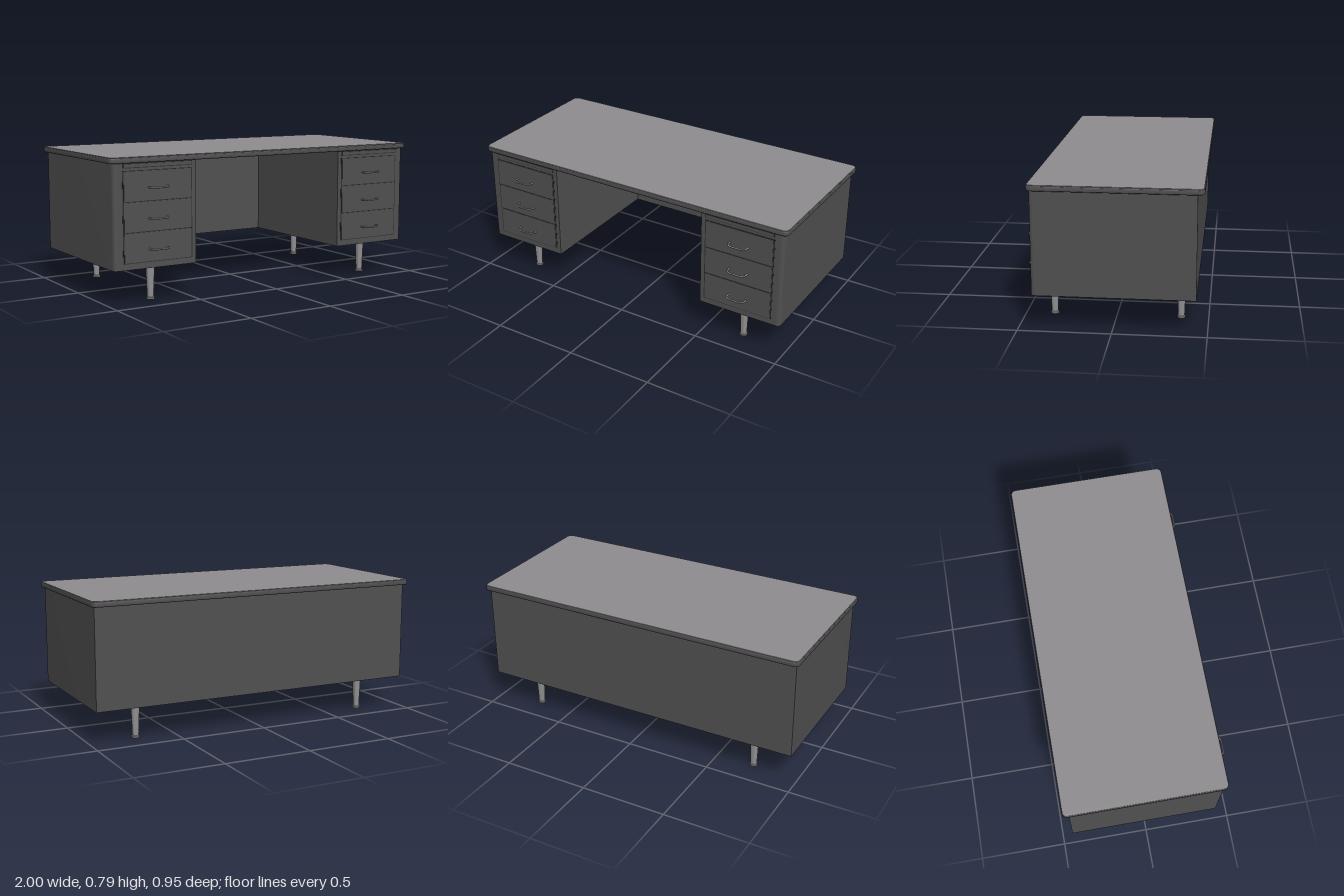
import * as THREE from 'three';
import { toCreasedNormals } from 'three/addons/utils/BufferGeometryUtils.js';

const mat = (name, color) => {
  const m = new THREE.MeshStandardMaterial({ color });
  m.name = name;
  return m;
};

// Rectangle with rounded corners, in plan (shape y = -z)
function roundedRect(x0, y0, x1, y1, r) {
  const s = new THREE.Shape();
  s.absarc(x1 - r, y0 + r, r, -Math.PI / 2, 0);
  s.absarc(x1 - r, y1 - r, r, 0, Math.PI / 2);
  s.absarc(x0 + r, y1 - r, r, Math.PI / 2, Math.PI);
  s.absarc(x0 + r, y0 + r, r, Math.PI, Math.PI * 1.5);
  s.closePath();
  return s;
}

// Extrude a plan shape upward from y
function slab(shape, y, height, bevel = 0) {
  const g = new THREE.ExtrudeGeometry(shape, {
    depth: height - 2 * bevel, curveSegments: 8,
    bevelEnabled: bevel > 0, bevelSize: bevel, bevelThickness: bevel, bevelOffset: -bevel, bevelSegments: 3,
  });
  g.rotateX(-Math.PI / 2).translate(0, y + bevel, 0);
  return toCreasedNormals(g, 0.6);
}

export function createModel() {
  const steel = mat('dark steel', 0x505050);
  const gap = mat('shadow gap', 0x303030);
  const laminate = mat('grey laminate', 0x8f8c8f);
  const metal = mat('brushed metal', 0x909090);

  const desk = new THREE.Group();
  desk.name = 'desk';
  const add = (parent, name, geometry, material, x = 0, y = 0, z = 0) => {
    const m = new THREE.Mesh(geometry, material);
    m.name = name;
    m.position.set(x, y, z);
    parent.add(m);
    return m;
  };

  // Desk top: dark rim with a thin laminate sheet
  add(desk, 'topRim', slab(roundedRect(-1, -0.44, 1, 0.475, 0.03), 0.757, 0.029, 0.006), steel);
  add(desk, 'topSurface', slab(roundedRect(-0.996, -0.436, 0.996, 0.471, 0.027), 0.783, 0.006), laminate);

  // Carcass: two pedestals joined by the back panel, U-shaped in plan
  const W = 0.98, inner = 0.485, front = -0.427, back = 0.44, r = 0.025;
  const plan = new THREE.Shape();
  plan.moveTo(-W, back);
  plan.lineTo(-W, front + r);
  plan.quadraticCurveTo(-W, front, -W + r, front);
  plan.lineTo(-inner, front);
  plan.lineTo(-inner, back - 0.02);
  plan.lineTo(inner, back - 0.02);
  plan.lineTo(inner, front);
  plan.lineTo(W - r, front);
  plan.quadraticCurveTo(W, front, W, front + r);
  plan.lineTo(W, back);
  plan.closePath();
  add(desk, 'carcass', slab(plan, 0.19, 0.568), steel);

  // Bow handle and turned leg, shared by all copies
  const bow = new THREE.CatmullRomCurve3([
    [-0.055, 0], [-0.053, 0.026], [-0.038, 0.04], [0, 0.042], [0.038, 0.04], [0.053, 0.026], [0.055, 0],
  ].map(([x, z]) => new THREE.Vector3(x, 0, z)));
  const handleGeo = new THREE.TubeGeometry(bow, 32, 0.005, 8);
  const legGeo = toCreasedNormals(new THREE.LatheGeometry([
    [0, 0], [0.019, 0], [0.022, 0.003], [0.022, 0.011], [0.018, 0.015], [0.024, 0.184],
  ].map(p => new THREE.Vector2(...p)), 24), 0.6);

  for (const side of [-1, 1]) {
    const x = side * 0.718;
    const pedestal = new THREE.Group();
    pedestal.name = side > 0 ? 'leftPedestalFittings' : 'rightPedestalFittings';
    desk.add(pedestal);

    // Drawer stack set over a dark reveal
    add(pedestal, 'drawerReveal', new THREE.BoxGeometry(0.418, 0.494, 0.004), gap, x, 0.47, 0.4262);
    for (let i = 0; i < 3; i++) {
      const y = 0.307 + i * 0.1635;
      add(pedestal, 'drawerFront', new THREE.BoxGeometry(0.404, 0.159, 0.006), steel, x, y, 0.428);
      add(pedestal, 'drawerHandle', handleGeo, metal, side * 0.72, 0.295 + i * 0.165, 0.429);
    }

    // Pull-out writing board under the top
    add(pedestal, 'boardReveal', new THREE.BoxGeometry(0.418, 0.024, 0.004), gap, x, 0.742, 0.4262);
    add(pedestal, 'writingBoard', new THREE.BoxGeometry(0.406, 0.017, 0.006), steel, x, 0.743, 0.428);

    // Legs with square mounting plates
    for (const z of [0.343, -0.351]) {
      add(pedestal, 'leg', legGeo, metal, side * 0.725, 0, z);
      add(pedestal, 'legPlate', new THREE.BoxGeometry(0.095, 0.008, 0.095), steel, side * 0.725, 0.187, z);
    }
  }
  return desk;
}
